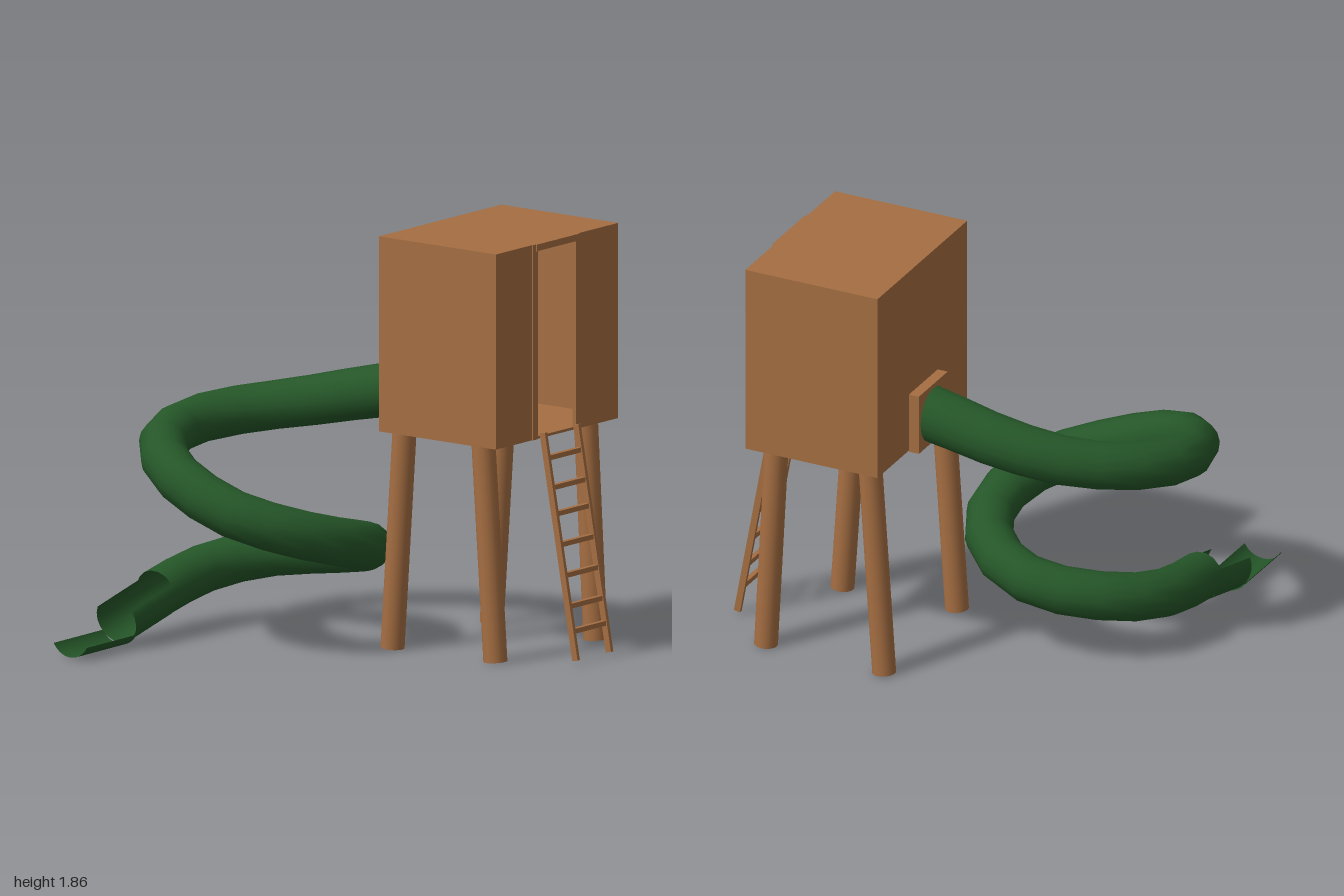
import * as THREE from 'three';

const wood = new THREE.MeshStandardMaterial({ color: 0xa56e42 });
wood.name = 'wood';
const green = new THREE.MeshStandardMaterial({ color: 0x255628, side: THREE.DoubleSide });
green.name = 'slide green';

const V = (x, y, z) => new THREE.Vector3(x, y, z);

function add(parent, name, geometry, material = wood) {
  const mesh = new THREE.Mesh(geometry, material);
  mesh.name = name;
  parent.add(mesh);
  return mesh;
}

// Box given by its two extreme corners
function box(parent, name, x0, x1, y0, y1, z0, z1) {
  const mesh = add(parent, name, new THREE.BoxGeometry(x1 - x0, y1 - y0, z1 - z0));
  mesh.position.set((x0 + x1) / 2, (y0 + y1) / 2, (z0 + z1) / 2);
  return mesh;
}

// Stretch a y-aligned mesh between two points
function span(mesh, a, b) {
  mesh.position.copy(a).add(b).multiplyScalar(0.5);
  mesh.quaternion.setFromUnitVectors(V(0, 1, 0), b.clone().sub(a).normalize());
  return mesh;
}

// Upright panel with a round hole
function holedPanel(parent, name, x0, x1, y0, y1, z0, z1, r) {
  const s = new THREE.Shape([[x0, y0], [x1, y0], [x1, y1], [x0, y1]].map(p => new THREE.Vector2(...p)));
  const hole = new THREE.Path();
  hole.absarc(0.47, 1.12, r, 0, Math.PI * 2, true);
  s.holes.push(hole);
  const g = new THREE.ExtrudeGeometry(s, { depth: z1 - z0, bevelEnabled: false, curveSegments: 10 });
  g.translate(0, 0, z0);
  return add(parent, name, g);
}

// Open chute, sloping down towards -x
function chute(parent, name, x0, y0, x1, y1, r, halfAngle) {
  const len = Math.hypot(x1 - x0, y1 - y0);
  const g = new THREE.CylinderGeometry(r, r, len, 14, 1, true, -Math.PI / 2 - halfAngle, halfAngle * 2);
  const mesh = add(parent, name, g, green);
  mesh.rotation.z = Math.PI / 2 + Math.atan2(y0 - y1, x0 - x1);
  mesh.position.set((x0 + x1) / 2, (y0 + y1) / 2, -0.835);
}

export function createModel() {
  const model = new THREE.Group();
  model.name = 'treehouse with spiral slide';

  // Hollow cabin
  const cabin = new THREE.Group();
  cabin.name = 'cabin';
  model.add(cabin);
  const x0 = 0.04, x1 = 0.915, y0 = 0.985, y1 = 1.86, z0 = 0.14, z1 = 0.79, t = 0.012;
  box(cabin, 'floor', x0, x1, y0, y0 + t, z0, z1);
  box(cabin, 'roof', x0, x1, y1 - t, y1, z0, z1);
  box(cabin, 'rightWall', x0, x0 + t, y0 + t, y1 - t, z0, z1);
  box(cabin, 'leftWall', x1 - t, x1, y0 + t, y1 - t, z0, z1);
  box(cabin, 'frontWallRight', x0 + t, 0.335, y0 + t, y1 - t, z1 - t, z1);
  box(cabin, 'frontWallLeft', 0.605, x1 - t, y0 + t, y1 - t, z1 - t, z1);
  holedPanel(cabin, 'backWall', x0 + t, x1 - t, y0, y1 - t, z0, z0 + t, 0.128);

  // Door frame
  box(cabin, 'doorJamb', 0.3, 0.335, y0, y1, z1 - t, z1 + 0.005);
  box(cabin, 'doorJamb', 0.605, 0.64, y0, y1, z1 - t, z1 + 0.005);
  box(cabin, 'lintel', 0.32, 0.62, 1.83, y1, z1 - t, z1 + 0.01);

  // Collar around the slide entrance
  holedPanel(model, 'slideCollar', 0.33, 0.61, 0.98, 1.26, 0.09, 0.139, 0.105);

  // Leaning legs: x, foot z, top z
  for (const [x, zFoot, zTop] of [
    [0.165, 0.69, 0.62], [0.822, 0.735, 0.68], [0.13, 0.145, 0.215], [0.84, 0.145, 0.215],
  ]) {
    const a = V(x, 0.003, zFoot), b = V(x, 1.03, zTop);
    span(add(model, 'leg', new THREE.CylinderGeometry(0.053, 0.053, a.distanceTo(b), 20)), a, b);
  }

  // Ladder
  const ladder = new THREE.Group();
  ladder.name = 'ladder';
  model.add(ladder);
  for (const x of [0.363, 0.602]) {
    const a = V(x, 0.012, 0.985), b = V(x, 1.01, 0.803);
    span(add(ladder, 'rail', new THREE.BoxGeometry(0.017, a.distanceTo(b), 0.03)), a, b);
  }
  for (const y of [0.14, 0.25, 0.385, 0.52, 0.655, 0.77, 0.9]) {
    const z = 0.987 - 0.182 * y;
    box(ladder, 'rung', 0.363, 0.602, y - 0.011, y + 0.011, z - 0.011, z + 0.011);
  }

  // Spiral tube, slightly wider at the entrance
  const path = new THREE.CatmullRomCurve3([
    [0.47, 1.125, 0.148], [0.47, 1.11, 0.06], [0.46, 1.04, -0.27], [0.38, 0.98, -0.54],
    [0.22, 0.94, -0.77], [0, 0.905, -0.885], [-0.25, 0.86, -0.835], [-0.42, 0.79, -0.66],
    [-0.475, 0.71, -0.46], [-0.45, 0.63, -0.25], [-0.36, 0.58, -0.1], [-0.22, 0.53, 0],
    [-0.03, 0.48, 0.035], [0.17, 0.43, -0.03], [0.31, 0.38, -0.18], [0.365, 0.34, -0.38],
    [0.3, 0.31, -0.62], [0.18, 0.28, -0.76], [0, 0.245, -0.835], [-0.3, 0.19, -0.835],
  ].map(p => V(...p)));
  const rings = 26, sides = 16;
  const tube = new THREE.TubeGeometry(path, rings, 0.108, sides, false);
  const pos = tube.attributes.position, v = V(0, 0, 0);
  for (let i = 0; i < 5; i++) {
    const c = path.getPointAt(i / rings), k = 1.17 - 0.034 * i;
    for (let j = 0; j <= sides; j++) {
      const n = i * (sides + 1) + j;
      v.fromBufferAttribute(pos, n).sub(c).multiplyScalar(k).add(c);
      pos.setXYZ(n, v.x, v.y, v.z);
    }
  }
  add(model, 'slideTube', tube, green);

  // Open run-out in two steps
  chute(model, 'slideExit', -0.29, 0.19, -0.585, 0.118, 0.108, Math.PI * 0.66);
  chute(model, 'slideRunOut', -0.56, 0.11, -0.915, 0.108, 0.105, Math.PI * 0.34);

  return model;
}
